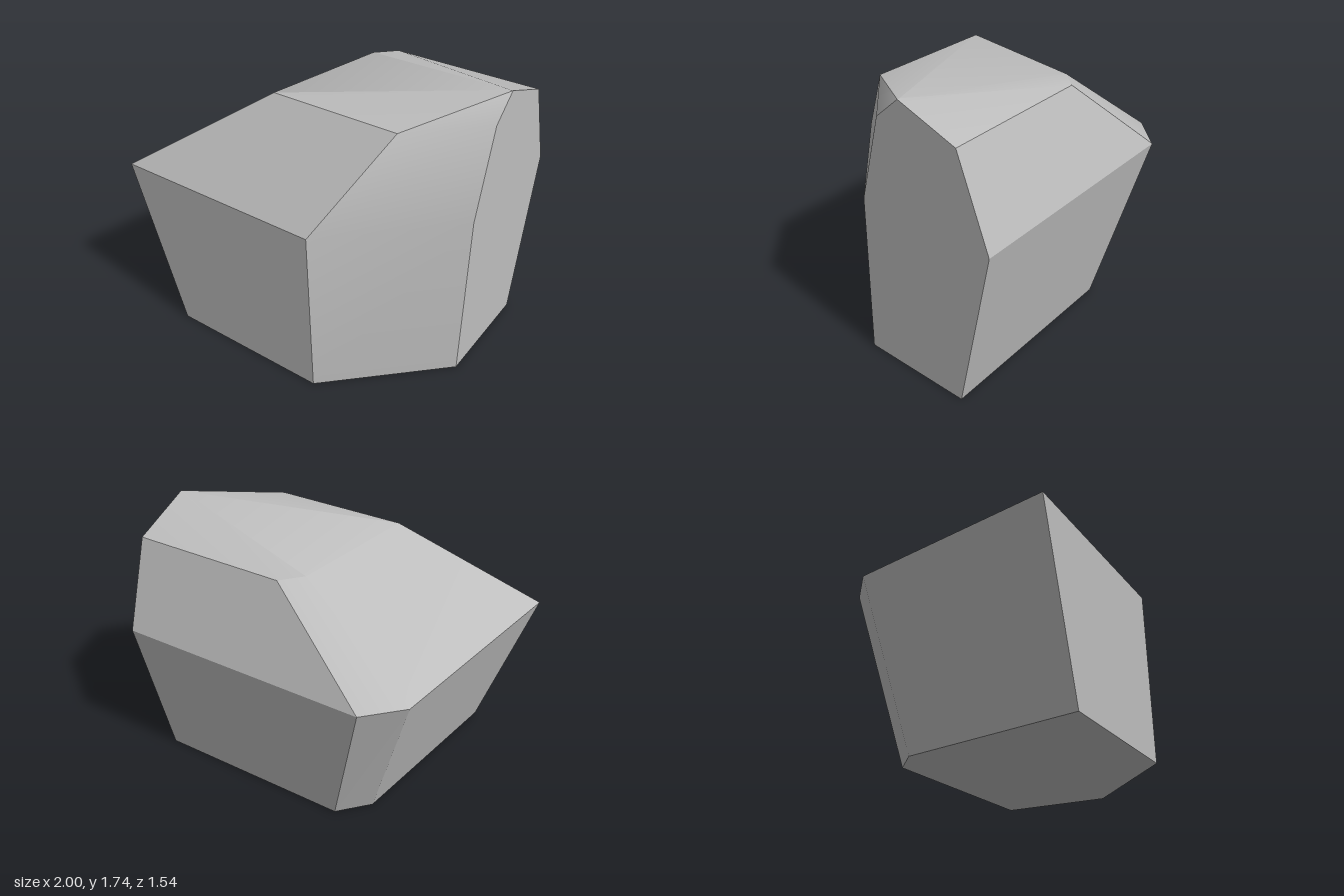
import * as THREE from 'three';
import { toCreasedNormals } from 'three/addons/utils/BufferGeometryUtils.js';

export function createModel() {
  const group = new THREE.Group();
  group.name = 'boulder';
  const stone = new THREE.MeshStandardMaterial({ color: 0xbdbdbd });
  stone.name = 'grey stone';

  // Cross-sections from the ground up: [height, six x/z corners counterclockwise from above]
  const rings = [
    [0, [[-0.67, 0.77], [0.37, 0.77], [1, 0.15], [1, -0.56], [-0.285, -0.56], [-0.46, -0.385]]],
    [1.06, [[-1, 0.77], [0.34, 0.77], [1, 0.12], [1, -0.77], [-0.55, -0.77], [-0.76, -0.57]]],
    [1.6, [[-0.2, 0.34], [0.62, 0.34], [1, -0.035], [1, -0.57], [0.06, -0.57], [-0.05, -0.455]]],
  ].map(([y, corners]) => corners.map(([x, z]) => new THREE.Vector3(x, y, z)));
  const [bottom, , top] = rings;

  // Short ridge at the peak
  const peak = new THREE.Vector3(0.985, 1.74, -0.195);
  const peakEnd = new THREE.Vector3(1, 1.74, -0.195);

  const points = [];
  const face = (...p) => {
    for (let i = 1; i < p.length - 1; i++) points.push(p[0], p[i], p[i + 1]);
  };

  // Underside and side facets
  face(...[...bottom].reverse());
  for (let r = 0; r < 2; r++) {
    for (let i = 0; i < 6; i++) {
      const j = (i + 1) % 6;
      face(rings[r][i], rings[r][j], rings[r + 1][j], rings[r + 1][i]);
    }
  }

  // Sloping cap
  const [a, b, c, d, e, f] = top;
  face(peak, a, b);
  face(b, c, peakEnd, peak);
  face(c, d, peakEnd);
  face(d, e, peak, peakEnd);
  face(peak, e, f);
  face(peak, f, a);

  const geometry = new THREE.BufferGeometry().setFromPoints(points);
  const rock = new THREE.Mesh(toCreasedNormals(geometry, THREE.MathUtils.degToRad(30)), stone);
  rock.name = 'rock';
  group.add(rock);
  return group;
}
